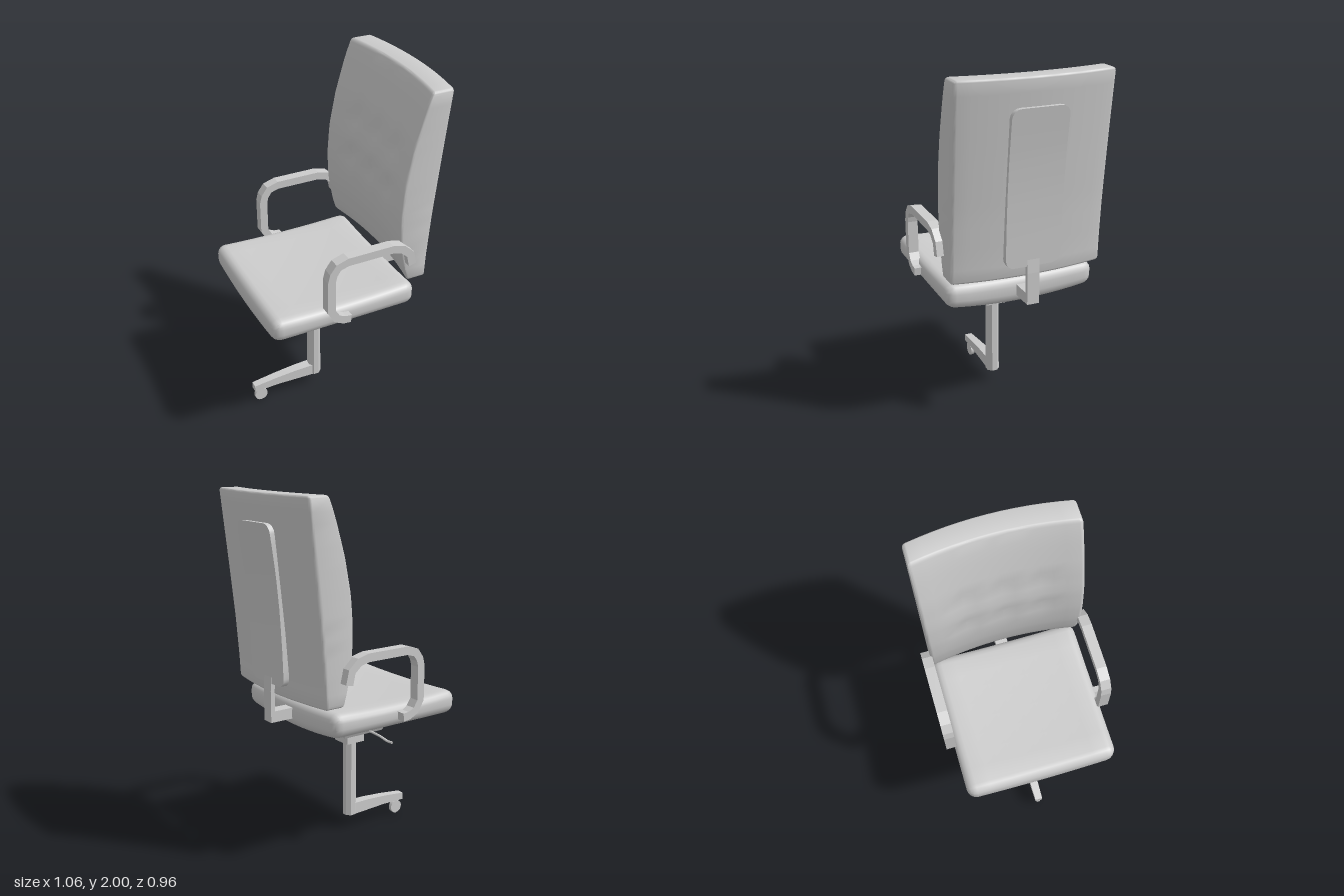
import * as THREE from 'three';
import { mergeVertices, toCreasedNormals } from 'three/addons/utils/BufferGeometryUtils.js';

const material = new THREE.MeshStandardMaterial({ color: 0xcccccc, side: THREE.DoubleSide });
const MID_Z = 0.005;

// Move every vertex of a geometry by a rule and rebuild its normals
function reshape(geometry, rule, crease) {
  const p = geometry.attributes.position;
  const v = new THREE.Vector3();
  for (let i = 0; i < p.count; i++) {
    rule(v.fromBufferAttribute(p, i));
    p.setXYZ(i, v.x, v.y, v.z);
  }
  geometry.deleteAttribute('normal');
  geometry.deleteAttribute('uv');
  return toCreasedNormals(mergeVertices(geometry, 1e-5), crease);
}

// Rounded box: two segments per rounded edge, inner[] segments between them
function softBox(size, r, inner, rule) {
  const segs = inner.map((n) => n + 4);
  const geometry = new THREE.BoxGeometry(1, 1, 1, ...segs);
  const place = (u, s, n) => {
    const k = Math.round((u + 0.5) * n), half = s / 2;
    const edge = [0, 0.585 * r];
    if (k < 2) return -half + edge[k];
    if (k > n - 2) return half - edge[n - k];
    return -half + r + (k - 2) / (n - 4) * (s - 2 * r);
  };
  const core = new THREE.Vector3();
  const lim = new THREE.Vector3(...size).multiplyScalar(0.5).subScalar(r);
  return reshape(geometry, (v) => {
    v.set(place(v.x, size[0], segs[0]), place(v.y, size[1], segs[1]), place(v.z, size[2], segs[2]));
    core.copy(v).clamp(lim.clone().negate(), lim);
    v.sub(core).normalize().multiplyScalar(r).add(core);
    rule(v);
  }, 0.6);
}

// Linear interpolation through [y, x] pairs
function along(points, y) {
  let i = 0;
  while (i < points.length - 2 && y > points[i + 1][0]) i++;
  const [a, b] = [points[i], points[i + 1]];
  return a[1] + (b[1] - a[1]) * (y - a[0]) / (b[0] - a[0]);
}

// Extrude an xy outline between two z values
function slab(points, z0, z1) {
  const shape = new THREE.Shape(points.map(([x, y]) => new THREE.Vector2(x, y)));
  return new THREE.ExtrudeGeometry(shape, { depth: z1 - z0, bevelEnabled: false }).translate(0, 0, z0);
}

// Outline of a bar of constant thickness following a path
function barOutline(path, t) {
  const sides = [[], []];
  path.forEach(([x, y], i) => {
    const a = path[Math.max(i - 1, 0)], b = path[Math.min(i + 1, path.length - 1)];
    const dx = b[0] - a[0], dy = b[1] - a[1], len = Math.hypot(dx, dy);
    const nx = -dy / len * t / 2, ny = dx / len * t / 2;
    sides[0].push([x + nx, y + ny]);
    sides[1].unshift([x - nx, y - ny]);
  });
  return [...sides[0], ...sides[1]];
}

export function createModel() {
  const group = new THREE.Group();
  const add = (name, geometry, x = 0, y = 0, z = 0) => {
    const mesh = new THREE.Mesh(geometry, material);
    mesh.name = name;
    mesh.position.set(x, y, z);
    group.add(mesh);
    return mesh;
  };

  // Seat cushion, dished on top and curved across its width
  add('seat', softBox([0.85, 0.15, 0.87], 0.055, [8, 1, 10], (v) => {
    const s = (v.z / 0.435) ** 2, top = THREE.MathUtils.clamp(v.y / 0.15 + 0.5, 0, 1);
    v.y += THREE.MathUtils.lerp(0.035 * s, 0.012 * s + 0.014 * (v.x / 0.42) ** 2 - 0.006, top);
  }), -0.105, 0.792, MID_Z);

  // Backrest, curved in both directions with buttoned dimples on its front
  const front = [[0.92, 0.305], [1.0, 0.28], [1.15, 0.25], [1.32, 0.242], [1.5, 0.255],
    [1.7, 0.295], [1.9, 0.355], [2, 0.395]];
  const back = [[0.92, 0.415], [1.05, 0.422], [1.3, 0.442], [1.6, 0.474], [2, 0.518]];
  add('backrest', softBox([0.2, 1.08, 0.87], 0.02, [1, 18, 12], (v) => {
    const y = v.y + 1.46, t = v.x / 0.2 + 0.5;
    let x = THREE.MathUtils.lerp(along(front, y), along(back, y), t);
    x -= 0.045 * (v.z / 0.435) ** 2;
    if (t < 0.3) {
      for (const by of [1.39, 1.62]) for (const bz of [-0.208, 0, 0.208]) {
        x += 0.022 * Math.exp(-((y - by) ** 2 + (v.z - bz) ** 2) / 0.0022);
      }
    }
    v.set(x, y, v.z);
  }), 0, 0, MID_Z);

  // Back plate with rounded corners, following the backrest
  const plate = [[0.99, 0.449], [1.2, 0.456], [1.4, 0.468], [1.6, 0.488], [1.85, 0.525]];
  const rows = 18, corner = 4, radius = 0.05, y0 = 0.99, y1 = 1.85;
  add('backPlate', reshape(new THREE.BoxGeometry(1, 1, 1, 1, rows, 2), (v) => {
    const k = Math.round((v.y + 0.5) * rows), e = Math.min(k, rows - k);
    const a = Math.min(e / corner, 1) * Math.PI / 2;
    const rise = radius * (1 - Math.cos(a));
    let y = k < rows / 2 ? y0 + rise : y1 - rise;
    if (e >= corner) y = y0 + radius + (k - corner) / (rows - 2 * corner) * (y1 - y0 - 2 * radius);
    v.set(along(plate, y) + (v.x < 0 ? -0.035 : 0), y, 2 * v.z * (0.157 - radius * (1 - Math.sin(a))));
  }, 0.5), 0, 0, MID_Z);

  // Bracket joining the seat to the back plate
  add('backBracket', slab([[0.28, 0.77], [0.455, 0.77], [0.455, 0.95], [0.45, 1.03], [0.425, 1.03],
    [0.43, 0.95], [0.43, 0.832], [0.28, 0.832]], -0.035, 0.035), 0, 0, MID_Z);

  // Pair of looped armrests
  const armPath = [[-0.1, 0.812], [-0.14, 0.816], [-0.185, 0.838], [-0.216, 0.89], [-0.216, 1.08],
    [-0.206, 1.12], [-0.178, 1.16], [-0.12, 1.178], [0.14, 1.178], [0.2, 1.163], [0.248, 1.12], [0.264, 1.05]];
  for (const side of [-1, 1]) {
    add(side > 0 ? 'frontArmrest' : 'rearArmrest', slab(barOutline(armPath, 0.046), -0.029, 0.029), 0, 0, side * 0.449);
  }

  // Tapered mount, collar and column under the seat
  const mount = new THREE.CylinderGeometry(0.19 * Math.SQRT2, 0.132 * Math.SQRT2, 0.11, 4).rotateY(Math.PI / 4);
  add('seatMount', toCreasedNormals(mount, 0.3), -0.102, 0.675, MID_Z);
  add('collar', new THREE.BoxGeometry(0.12, 0.08, 0.12), -0.1, 0.587, MID_Z);
  const column = new THREE.CylinderGeometry(0.04, 0.04, 0.47, 8).rotateY(Math.PI / 8);
  add('column', toCreasedNormals(column, 0.3), -0.102, 0.322, MID_Z);

  // Height lever
  const leverCurve = new THREE.CatmullRomCurve3([[-0.1, 0.655], [-0.16, 0.664], [-0.24, 0.671],
    [-0.32, 0.667], [-0.38, 0.657], [-0.42, 0.66]].map(([z, y]) => new THREE.Vector3(-0.07, y, z)));
  add('heightLever', new THREE.TubeGeometry(leverCurve, 16, 0.007, 6));

  // Single base leg, narrowing toward its tip
  const leg = slab([[-0.12, 0.085], [-0.12, 0.155], [-0.22, 0.153], [-0.35, 0.143], [-0.5, 0.125],
    [-0.5, 0.084], [-0.43, 0.086], [-0.35, 0.09]].reverse(), -0.03, 0.03);
  add('baseLeg', reshape(leg, (v) => { v.z *= 1 + (v.x + 0.12) * 0.7; }, 0.4), 0, 0, MID_Z);

  // Caster stem and wheel
  add('casterStem', new THREE.CylinderGeometry(0.008, 0.008, 0.05, 8), -0.457, 0.07, MID_Z);
  const wheel = new THREE.CylinderGeometry(0.04, 0.04, 0.022, 14).rotateX(Math.PI / 2);
  add('casterWheel', wheel, -0.457, 0.04, MID_Z);

  return group;
}
